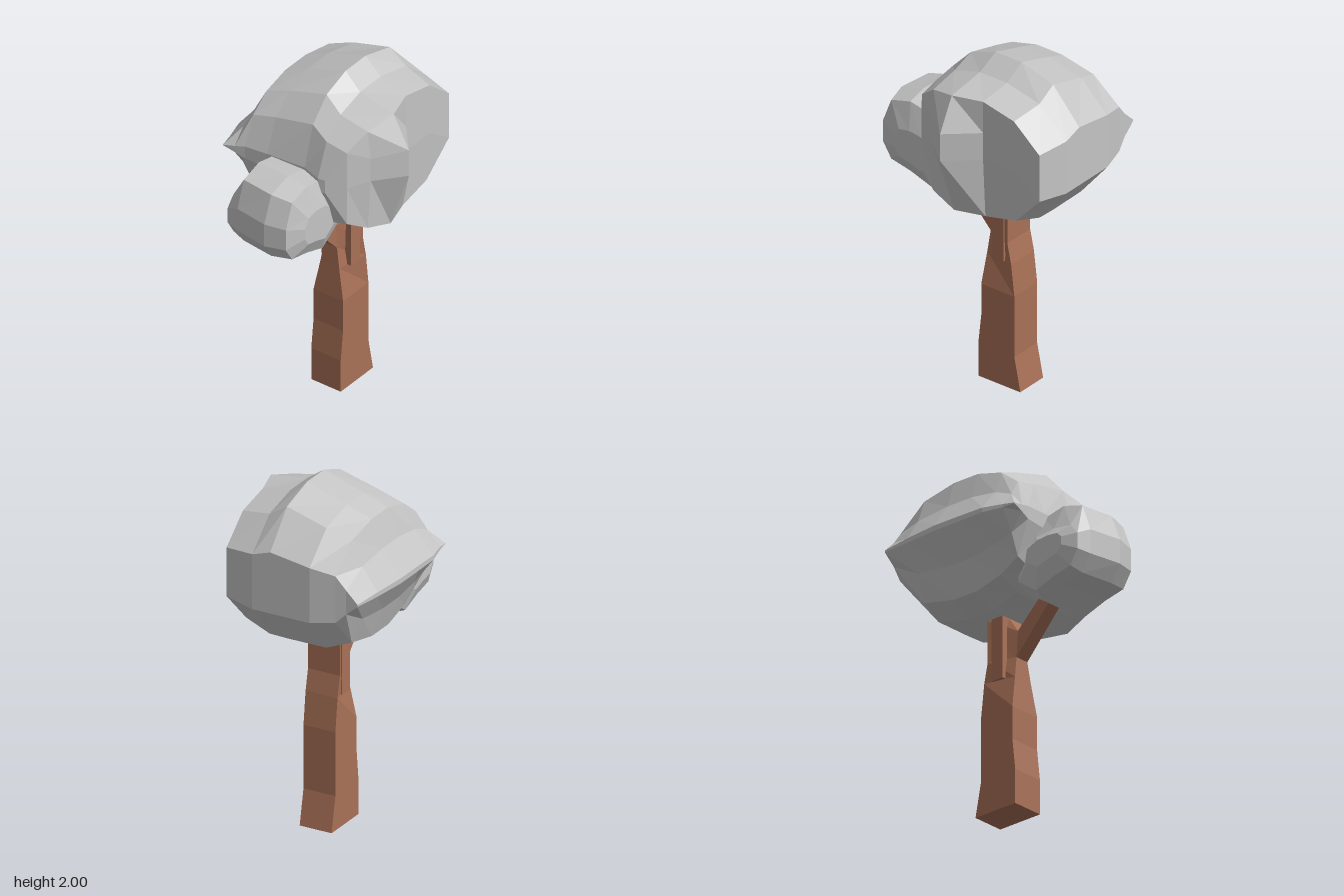
import * as THREE from 'three';

// Closed faceted skin through rings of equal point count; midRows(i) may add
// points down column i of the end cap.
function loft(rings, midRows = () => []) {
  const pos = [];
  const quad = (a, b, c, d) => [a, b, c, a, c, d].forEach((p) => pos.push(...p));
  const m = rings[0].length;
  for (let r = 0; r < rings.length - 1; r++) {
    const a = rings[r], b = rings[r + 1];
    for (let i = 0; i < m; i++) {
      const j = (i + 1) % m;
      quad(a[i], b[i], b[j], a[j]);
    }
  }
  const s = rings[0], e = rings[rings.length - 1];
  const column = (i) => [e[i], ...midRows(i), e[m - 1 - i]];
  for (let i = 0; i < m / 2 - 1; i++) {
    quad(s[i], s[i + 1], s[m - 2 - i], s[m - 1 - i]);
    const p = column(i), q = column(i + 1);
    for (let k = 0; k < p.length - 1; k++) quad(p[k], p[k + 1], q[k + 1], q[k]);
  }
  const geo = new THREE.BufferGeometry();
  geo.setAttribute('position', new THREE.Float32BufferAttribute(pos, 3));
  geo.computeVertexNormals();
  return geo;
}

// Leaf cluster ring: columns from front to back along the top, then back along the underside
function leafRing(outline, midY, { x, top, bottom, front, back, dx = [], dTop = dx, dBottom = dx }) {
  const z = (u) => front + (back - front) * u;
  const upper = outline.map(([u, t], i) => [x + (dTop[i] || 0), midY + (top - midY) * t, z(u)]);
  const lower = outline.map(([u, , b], i) => [x + (dBottom[i] || 0), midY + (bottom - midY) * b, z(u)]);
  return [...upper, ...lower.reverse()];
}

function createCrown() {
  // [depth fraction, top fraction, bottom fraction]
  const outline = [
    [0, 0.1, 0.12], [0.08, 0.6, 0.68], [0.21, 0.87, 0.87], [0.39, 1, 1],
    [0.58, 1, 1], [0.81, 0.87, 0.87], [1, 0.45, 0.35],
  ];
  const midY = 1.53;
  const sections = [
    { x: -0.46, top: 1.55, bottom: 1.52, front: 0.33, back: -0.59, dx: [0, -0.01, -0.04, -0.04, -0.04, -0.02, 0] },
    { x: -0.39, top: 1.7, bottom: 1.35, front: 0.32, back: -0.59 },
    { x: -0.33, top: 1.86, bottom: 1.18, front: 0.31, back: -0.6 },
    { x: -0.19, top: 1.92, bottom: 1.12, front: 0.3, back: -0.63 },
    { x: 0.05, top: 2.0, bottom: 1.12, front: 0.29, back: -0.63 },
    { x: 0.16, top: 1.92, bottom: 1.12, front: 0.32, back: -0.63 },
    {
      x: 0.34, top: 1.88, bottom: 1.17, front: 0.31, back: -0.59,
      dTop: [-0.14, -0.05, 0, 0.05, 0, 0, 0], dBottom: [-0.14, -0.05, 0, 0.03, -0.02, -0.02, 0],
    },
  ];
  const rings = sections.map((s) => leafRing(outline, midY, s));
  const end = rings[rings.length - 1];
  // Vertical ridge standing out of the left side
  const bulge = [0, 0, 0.02, 0.12, 0, 0, 0];
  return loft(rings, (i) => {
    const a = end[i], b = end[end.length - 1 - i];
    return [0.27, 0.5].map((f) => [
      Math.max(a[0], b[0]) + bulge[i] - (i === 3 ? 0.02 : 0),
      a[1] + (b[1] - a[1]) * f,
      a[2],
    ]);
  });
}

function createSmallCluster() {
  const outline = [[0, 0.25, 0.3], [0.12, 0.85, 0.68], [0.4, 1, 0.8], [0.7, 0.88, 1], [1, 0.3, 0.6]];
  const sections = [
    { x: -0.28, top: 1.38, bottom: 1.22, front: 0.5, back: 0.26 },
    { x: -0.24, top: 1.43, bottom: 1.11, front: 0.58, back: 0.16 },
    { x: -0.16, top: 1.59, bottom: 1.08, front: 0.6, back: 0.13 },
    { x: 0.04, top: 1.59, bottom: 1.08, front: 0.63, back: 0.12 },
    { x: 0.16, top: 1.57, bottom: 1.1, front: 0.6, back: 0.14 },
    { x: 0.205, top: 1.42, bottom: 1.2, front: 0.49, back: 0.24 },
  ];
  return loft(sections.map((s) => leafRing(outline, 1.33, s)));
}

const trunkX = -0.0125;

// Trunk levels: height, front z, back z, half width at front and back
function createTrunk() {
  const w = 0.0975, n = 0.0425;
  const levels = [
    [0, 0.02, -0.262, w, w], [0.2, 0.02, -0.222, w, w], [0.38, 0, -0.222, w, w],
    [0.57, 0, -0.222, w, w], [0.76, -0.013, -0.2, 0.062, w], [0.88, -0.02, -0.175, n, w],
    [1.03, -0.01, -0.175, n, w], [1.12, -0.07, -0.175, n, w], [1.3, -0.07, -0.175, n, w],
  ];
  return loft(levels.map(([y, f, b, wf, wb]) => [
    [trunkX + wf, y, f], [trunkX - wf, y, f], [trunkX - wb, y, b], [trunkX + wb, y, b],
  ]));
}

// Forked branch: side profile (z, y) given thickness along x
function createBranch() {
  const shape = new THREE.Shape(
    [[-0.1, 0.88], [-0.02, 0.88], [0.2, 1.12], [0.3, 1.24], [0.22, 1.25], [-0.01, 1.03], [-0.1, 1.03]]
      .map(([z, y]) => new THREE.Vector2(z, y)),
  );
  const geo = new THREE.ExtrudeGeometry(shape, { depth: 0.085, bevelEnabled: false });
  geo.rotateY(-Math.PI / 2);
  geo.translate(trunkX + 0.0425, 0, 0);
  return geo;
}

export function createModel() {
  const leaf = new THREE.MeshStandardMaterial({ color: 0xc4c4c4, flatShading: true });
  leaf.name = 'leafGrey';
  const bark = new THREE.MeshStandardMaterial({ color: 0xa87056, flatShading: true });
  bark.name = 'barkBrown';

  const tree = new THREE.Group();
  tree.name = 'tree';
  const add = (name, geo, mat) => {
    const mesh = new THREE.Mesh(geo, mat);
    mesh.name = name;
    tree.add(mesh);
    return mesh;
  };

  add('crown', createCrown(), leaf);
  add('smallLeafCluster', createSmallCluster(), leaf);
  add('trunk', createTrunk(), bark);
  add('branch', createBranch(), bark);
  // Upright stem carrying the crown
  add('stem', new THREE.BoxGeometry(0.194, 0.5, 0.08), bark).position.set(trunkX, 1.01, -0.11);
  return tree;
}
